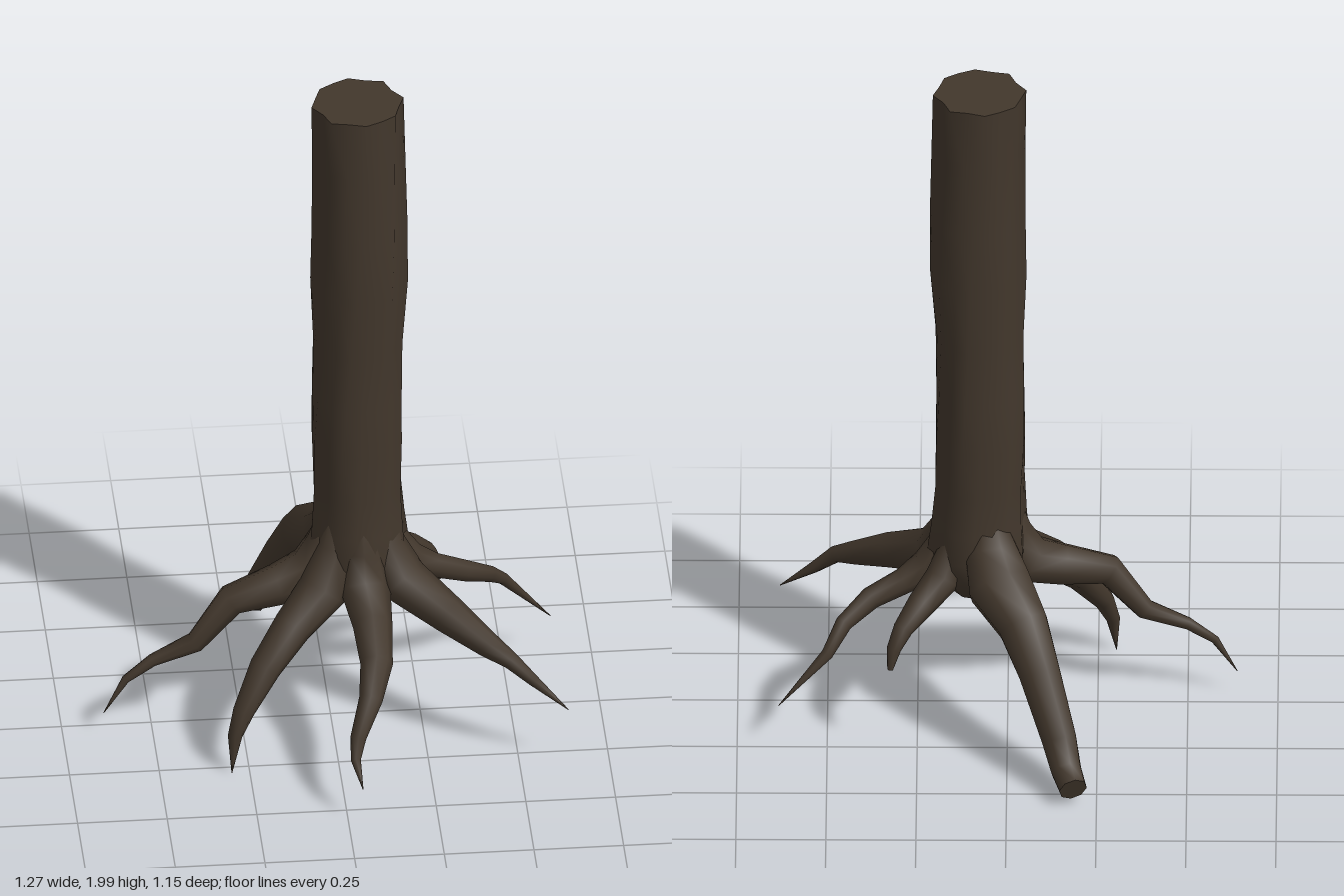
import * as THREE from 'three';

const CX = 0.08, CZ = -0.03; // trunk axis

// Skin a list of rings (arrays of Vector3, counter-clockwise around the travel direction)
function loft(rings) {
  const n = rings[0].length, pos = [], idx = [];
  rings.forEach(r => r.forEach(p => pos.push(p.x, p.y, p.z)));
  for (let i = 0; i < rings.length - 1; i++) {
    for (let j = 0; j < n; j++) {
      const a = i * n + j, b = i * n + (j + 1) % n;
      idx.push(a, b, a + n, b, b + n, a + n);
    }
  }
  const g = new THREE.BufferGeometry();
  g.setAttribute('position', new THREE.Float32BufferAttribute(pos, 3));
  g.setIndex(idx);
  g.computeVertexNormals();
  return g;
}

// Flat fan closing a ring
function cap(ring, flip) {
  const centre = new THREE.Vector3();
  ring.forEach(p => centre.addScaledVector(p, 1 / ring.length));
  const pos = [], n = ring.length;
  for (let j = 0; j < n; j++) {
    const a = ring[j], b = ring[(j + 1) % n];
    (flip ? [centre, b, a] : [centre, a, b]).forEach(p => pos.push(p.x, p.y, p.z));
  }
  const g = new THREE.BufferGeometry();
  g.setAttribute('position', new THREE.Float32BufferAttribute(pos, 3));
  g.computeVertexNormals();
  return g;
}

// Rings along a root path of [x, y, z, radius]
function rootRings(path, sides = 8) {
  const pts = path.map(p => new THREE.Vector3(p[0], p[1], p[2]));
  const last = pts[pts.length - 1];
  const across = new THREE.Vector3(-(last.z - CZ), 0, last.x - CX).normalize();
  return pts.map((c, i) => {
    const t = pts[Math.min(i + 1, pts.length - 1)].clone().sub(pts[Math.max(i - 1, 0)]).normalize();
    const side = across.clone().addScaledVector(t, -across.dot(t)).normalize();
    const up = t.clone().cross(side);
    return Array.from({ length: sides }, (_, j) => {
      const a = (j / sides) * Math.PI * 2;
      return c.clone().addScaledVector(side, Math.cos(a) * path[i][3]).addScaledVector(up, Math.sin(a) * path[i][3]);
    });
  });
}

// Paths start just outside the flare; the run inside the trunk is added for each
const ROOTS = {
  backRoot: [[0.02, 0.49, -0.18, 0.095], [-0.045, 0.43, -0.29, 0.075], [-0.09, 0.32, -0.36, 0.062],
    [-0.145, 0.16, -0.45, 0.052], [-0.165, 0.09, -0.5, 0.045], [-0.185, 0.065, -0.565, 0.04]],
  rightRoot: [[-0.05, 0.48, -0.01, 0.075], [-0.15, 0.45, 0.01, 0.06], [-0.28, 0.42, 0.03, 0.045],
    [-0.38, 0.29, 0.035, 0.03], [-0.5, 0.24, 0.04, 0.018], [-0.575, 0.185, 0.045, 0.012], [-0.637, 0.08, 0.05, 0.001]],
  frontRightRoot: [[-0.03, 0.46, 0.07, 0.07], [-0.12, 0.39, 0.14, 0.055], [-0.2, 0.3, 0.2, 0.045],
    [-0.265, 0.19, 0.25, 0.03], [-0.29, 0.12, 0.265, 0.02], [-0.3, 0.01, 0.28, 0.001]],
  frontRoot: [[0.09, 0.47, 0.08, 0.07], [0.1, 0.42, 0.2, 0.055], [0.1, 0.37, 0.32, 0.045],
    [0.075, 0.32, 0.42, 0.033], [0.035, 0.23, 0.475, 0.022], [0.025, 0.18, 0.51, 0.014], [0.04, 0.12, 0.57, 0.001]],
  frontLeftRoot: [[0.2, 0.47, 0.05, 0.07], [0.32, 0.41, 0.15, 0.053], [0.42, 0.355, 0.225, 0.036],
    [0.48, 0.325, 0.265, 0.024], [0.54, 0.27, 0.285, 0.016], [0.635, 0.19, 0.32, 0.001]],
  leftRoot: [[0.22, 0.48, -0.05, 0.05], [0.29, 0.44, -0.07, 0.037], [0.38, 0.4, -0.095, 0.032],
    [0.455, 0.35, -0.15, 0.024], [0.5, 0.29, -0.215, 0.017], [0.635, 0.14, -0.245, 0.001]],
  backLeftRoot: [[0.18, 0.48, -0.12, 0.05], [0.24, 0.43, -0.18, 0.04], [0.29, 0.38, -0.23, 0.028],
    [0.315, 0.33, -0.255, 0.02], [0.325, 0.27, -0.265, 0.008]],
};

export function createModel() {
  const group = new THREE.Group();
  const bark = new THREE.MeshStandardMaterial({ color: 0x42372c });
  bark.name = 'dark bark';
  const add = (name, geometry) => {
    const mesh = new THREE.Mesh(geometry, bark);
    mesh.name = name;
    group.add(mesh);
  };

  // Trunk: fluted rings that twist slowly and sway a little; [y, radius]
  const sections = [[0.4, 0.07], [0.46, 0.125], [0.54, 0.137], [0.63, 0.129], [0.75, 0.124], [0.9, 0.128],
    [1.05, 0.125], [1.22, 0.121], [1.42, 0.129], [1.6, 0.125], [1.82, 0.122], [2, 0.123]];
  const N = 16;
  const trunk = sections.map(([y, r], i) => Array.from({ length: N }, (_, j) => {
    const a = (j / N) * Math.PI * 2 + y * 0.45;
    const flute = 1 + (j % 2 ? -0.045 : 0.045) + 0.025 * Math.sin(j * 2.3 + i * 0.7);
    return new THREE.Vector3(CX + Math.cos(a) * r * flute + 0.004 * Math.sin(y * 5), y,
      CZ - Math.sin(a) * r * flute + 0.004 * Math.cos(y * 4));
  }));
  add('trunk', loft(trunk));
  add('trunkTop', cap(trunk[trunk.length - 1], false));
  add('trunkUnderside', cap(trunk[0], true));

  // Roots: each grows down out of the trunk, bends outward and tapers
  for (const [name, path] of Object.entries(ROOTS)) {
    const [x, , z, r] = path[0];
    const d = Math.hypot(x - CX, z - CZ), ux = (x - CX) / d, uz = (z - CZ) / d;
    const inner = [[CX + ux * 0.075, 0.7, CZ + uz * 0.075, 0.03], [CX + ux * 0.085, 0.58, CZ + uz * 0.085, r * 0.8]];
    const rings = rootRings([...inner, ...path]);
    add(name, loft(rings));
    add(name + 'End', cap(rings[rings.length - 1], false));
  }
  return group;
}
